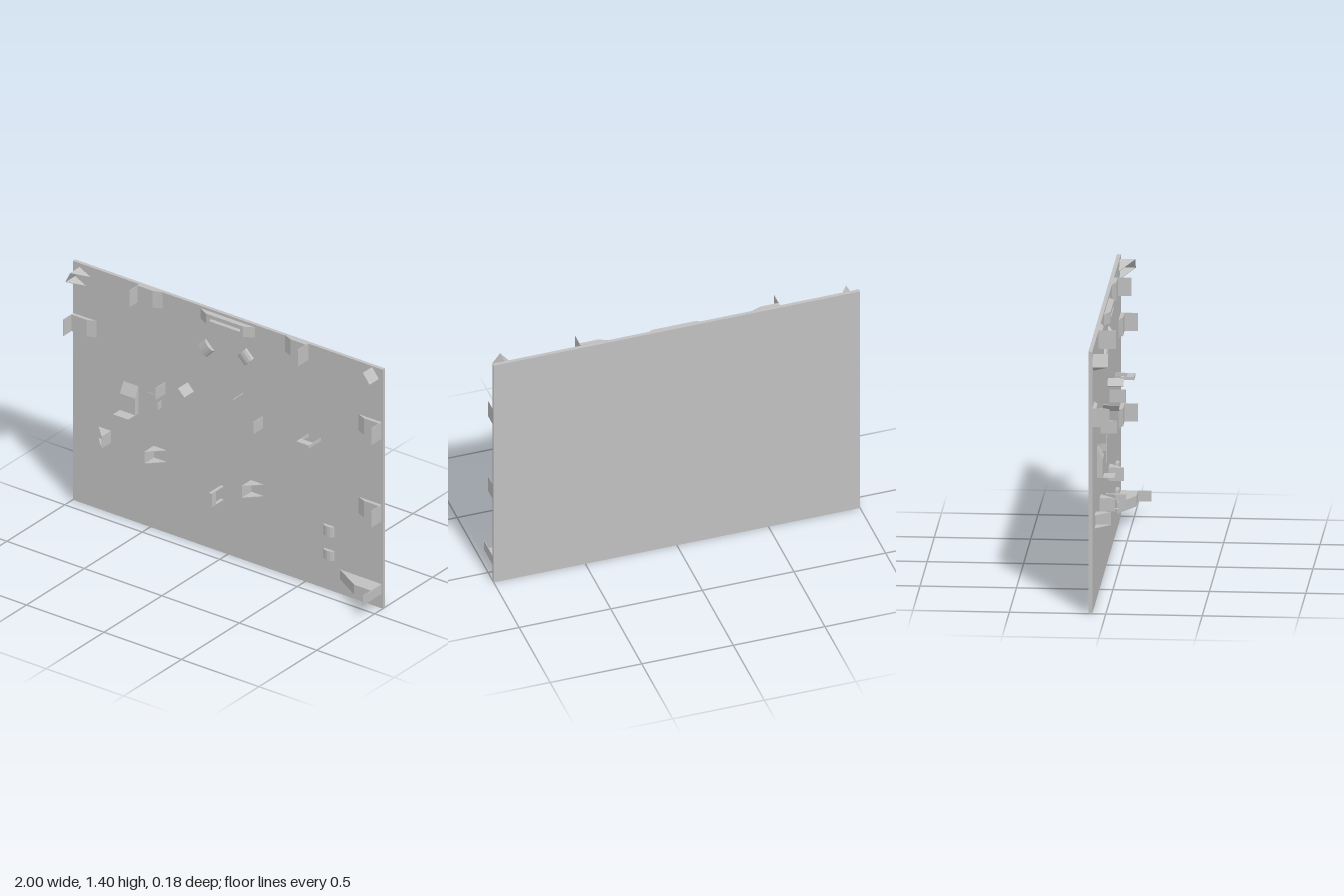
import * as THREE from 'three';

const FACE = -0.07; // front face of the panel
const SHEET = 0.003;

export function createModel() {
  const model = new THREE.Group();
  const metal = new THREE.MeshStandardMaterial({ color: 0xc0c0c0, side: THREE.DoubleSide, flatShading: true });

  // group sitting on the panel face, turned about z
  const place = (name, x, y, angle = 0) => {
    const g = new THREE.Group();
    g.name = name;
    g.position.set(x, y, FACE);
    g.rotation.z = angle;
    model.add(g);
    return g;
  };
  const add = (parent, name, geometry) => {
    const m = new THREE.Mesh(geometry, metal);
    m.name = name;
    parent.add(m);
    return m;
  };
  const box = (parent, name, w, h, d, x, y, z) =>
    add(parent, name, new THREE.BoxGeometry(w, h, d)).position.set(x, y, z);
  // profile in x and z, extruded along y and centred on it
  const profile = (points, width) => {
    const shape = new THREE.Shape(points.map(p => new THREE.Vector2(p[0], p[1])));
    return new THREE.ExtrudeGeometry(shape, { depth: width, bevelEnabled: false })
      .translate(0, 0, -width / 2).rotateX(Math.PI / 2);
  };

  // backing panel
  const panel = add(model, 'panel', new THREE.BoxGeometry(2, 1.4, 0.02));
  panel.position.set(0, 0.7, -0.08);

  // ramped strip ending in an upright flange; the flange is at local x = 0
  const tab = (name, x, y, angle, o = {}) => {
    const { length = 0.15, ramp = 0.05, rise = 0.02, width = 0.097, flange = 0.09 } = o;
    const g = place(name, x, y, angle);
    add(g, 'rampedStrip', profile([[-length, 0], [0, 0], [0, rise], [-length + ramp, rise]], width));
    box(g, 'flange', SHEET, width, flange, -SHEET / 2, 0, flange / 2);
  };
  tab('topLeftTab', -0.57, 1.353, Math.PI);
  tab('topRightTab', 0.52, 1.353, 0);
  tab('upperLeftTab', -0.997, 1.047, Math.PI);
  tab('upperRightTab', 0.993, 1.042, 0);
  tab('lowerRightTab', 0.993, 0.558, 0);
  tab('bottomRightTab', 0.993, 0.113, 0, { length: 0.27, ramp: 0.16, rise: 0.09, width: 0.057, flange: 0.16 });
  tab('shelfTab', -0.625, 0.64, -Math.PI / 2, { length: 0.16, ramp: 0.06, rise: 0.03, flange: 0.09 });

  // upright plate with two triangular gussets running toward local +x
  const bracket = (name, x, y, angle, height = 0.08) => {
    const g = place(name, x, y, angle);
    box(g, 'plate', SHEET, 0.07, height, 0, 0, height / 2);
    for (const side of [-1, 1]) {
      const gusset = add(g, 'gusset', profile([[0, 0], [0.08, 0], [0, height]], SHEET));
      gusset.position.y = side * 0.034;
    }
  };
  bracket('lowerLeftBracket', -0.755, 0.447, Math.PI);
  bracket('lowerMiddleBracket', -0.478, 0.447, 0);
  bracket('lowerCentreBracket', 0.15, 0.447, 0);
  bracket('leftCornerBracket', -0.972, 1.345, -0.47);
  bracket('rightCornerBracket', 0.952, 1.365, Math.PI + 0.66);

  // raised slotted guide at the top
  const guide = place('slottedGuide', 0, 1.355);
  for (const s of [-1, 1]) {
    const bar = add(guide, 'guideRail', profile([[-0.175, 0], [0.175, 0], [0.12, 0.03], [-0.12, 0.03]], 0.022));
    bar.position.y = s * 0.019;
    const end = add(guide, 'guideEnd', profile([[s * 0.1, 0], [s * 0.175, 0], [s * 0.12, 0.03], [s * 0.1, 0.03]], 0.016));
    end.position.y = 0;
  }

  // low arched louvers
  const arch = (name, x, y, angle, length, width, rise = 0.02) => {
    const points = [];
    for (let i = 0; i <= 6; i++) {
      const a = Math.PI * i / 6;
      points.push([-Math.cos(a) * length / 2, Math.sin(a) * rise]);
    }
    add(place(name, x, y, angle), 'arch', profile(points, width));
  };
  arch('upperLouver', 0.655, 0.35, 0, 0.07, 0.06);
  arch('lowerLouver', 0.655, 0.21, 0, 0.07, 0.055);
  arch('leftSlantedLouver', -0.138, 1.167, -Math.PI / 4, 0.078, 0.066);
  arch('rightSlantedLouver', 0.118, 1.195, Math.PI / 4, 0.078, 0.066);

  // wire holders: two legs carrying a narrow lip
  const holder = (name, x, y, angle) => {
    const g = place(name, x, y, angle);
    for (const s of [-1, 1]) box(g, 'leg', SHEET, 0.018, 0.105, s * 0.039, 0, 0.0525);
    box(g, 'lip', 0.08, 0.018, 0.038, 0, 0, 0.085);
  };
  holder('rightHolder', 0.56, 0.863, 0);
  holder('centreHolder', -0.035, 0.35, Math.PI / 2);

  // flat cover plate standing off the panel
  const cover = place('coverPlate', -0.457, 0.742);
  box(cover, 'cover', 0.06, 0.135, SHEET, 0, 0, 0.036);
  box(cover, 'coverLeg', SHEET, 0.04, 0.036, 0.028, 0, 0.018);

  // upright fins
  const fin = (name, x, y, angle, length) =>
    box(place(name, x, y, angle), 'fin', SHEET, length, 0.083, 0, 0, 0.0415);
  fin('leftFin', -0.405, 0.845, 0, 0.07);
  fin('rightFin', 0.225, 0.845, 0, 0.07);
  fin('leftSlantedFin', -0.24, 0.903, Math.PI / 4, 0.058);
  fin('rightSlantedFin', 0.078, 0.957, -Math.PI / 3.6, 0.05);

  return model;
}
